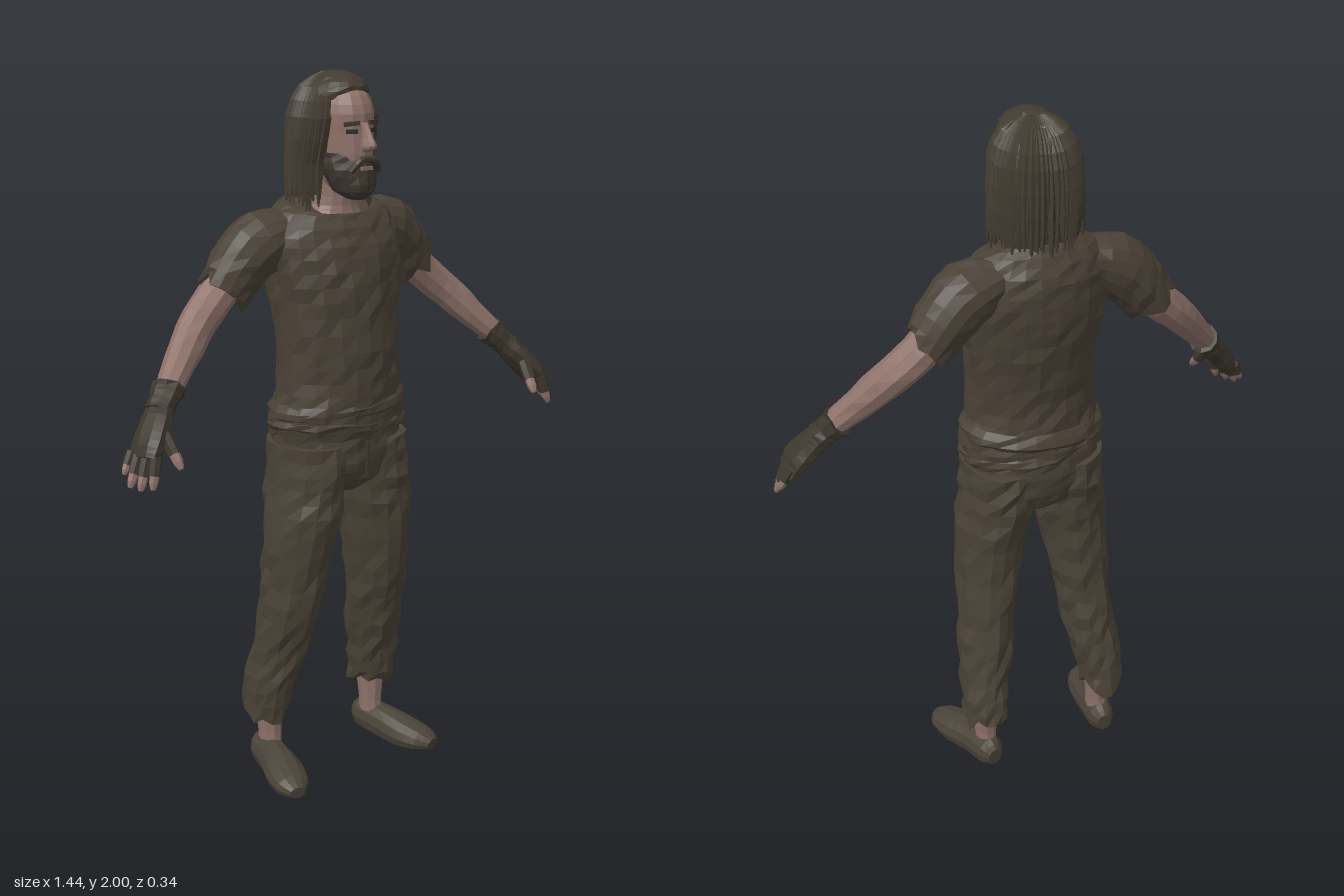
import * as THREE from 'three';

const V3 = (x, y, z) => new THREE.Vector3(x, y, z);
const mat = (name, color) => Object.assign(new THREE.MeshStandardMaterial({ color }), { name });
// Repeatable noise in -1..1
const noise = (i, j, k = 0) => {
  const s = Math.sin(i * 127.1 + j * 311.7 + k * 74.7) * 43758.5453;
  return (s - Math.floor(s)) * 2 - 1;
};
// Horizontal ring from half width and front/back depth
const ring = (x, y, rx, front, back) => [x, y, (front + back) / 2, rx, (front - back) / 2];

// Faceted skin over elliptical rings [x, y, z, radiusU, radiusV], with optional creases and ragged ends
function loft(name, material, rings, o = {}) {
  const { segs = 12, n = rings.length * 2, flat = false, ref = V3(0, 0, 1), rough = 0, seed = 0,
    jag0 = 0, jag1 = 0, cap0 = true, cap1 = true, tilt = 0 } = o;
  const path = new THREE.CatmullRomCurve3(rings.map(r => V3(r[0], r[1], r[2])));
  const size = new THREE.CatmullRomCurve3(rings.map(r => V3(r[3], r[4], 0)), false, 'catmullrom', 0.5);
  const pos = [], idx = [];
  for (let i = 0; i <= n; i++) {
    const t = i / n, c = path.getPoint(t), r = size.getPoint(t);
    const T = flat ? V3(0, 1, 0) : path.getTangent(t);
    const V = ref.clone().addScaledVector(T, -ref.dot(T)).normalize();
    const U = T.clone().cross(V);
    for (let j = 0; j < segs; j++) {
      const a = (j / segs) * Math.PI * 2;
      const w = rough * noise(i, j, seed);
      const p = c.clone().addScaledVector(U, (r.x + w) * Math.cos(a)).addScaledVector(V, (r.y + w) * Math.sin(a));
      if (i === 0) p.addScaledVector(T, -jag0 * noise(j, 3, seed));
      if (i === n) p.addScaledVector(T, jag1 * noise(j, 5, seed));
      p.y -= tilt * Math.sin(a) * t ** 8;
      pos.push(p.x, Math.max(0, p.y), p.z);
    }
  }
  for (let i = 0; i < n; i++) for (let j = 0; j < segs; j++) {
    const a = i * segs + j, b = i * segs + (j + 1) % segs;
    idx.push(a, a + segs, b, b, a + segs, b + segs);
  }
  const addCap = (row, end) => {
    const c = path.getPoint(end ? 1 : 0), k = pos.length / 3;
    pos.push(c.x, c.y, c.z);
    for (let j = 0; j < segs; j++) {
      const a = row * segs + j, b = row * segs + (j + 1) % segs;
      if (end) idx.push(k, b, a); else idx.push(k, a, b);
    }
  };
  if (cap0) addCap(0, false);
  if (cap1) addCap(n, true);
  const indexed = new THREE.BufferGeometry();
  indexed.setAttribute('position', new THREE.Float32BufferAttribute(pos, 3));
  indexed.setIndex(idx);
  const g = indexed.toNonIndexed();
  g.computeVertexNormals();
  const m = new THREE.Mesh(g, material);
  m.name = name;
  return m;
}

export function createModel() {
  const root = new THREE.Group();
  root.name = 'raggedMan';
  const skin = mat('skin', 0x8e7269), shirt = mat('shirtCloth', 0x4a4136), pants = mat('trouserCloth', 0x4a4236);
  const hair = mat('hair', 0x423b30), beardMat = mat('beard', 0x3f362e), glove = mat('gloveCloth', 0x3d372d);
  const leather = mat('shoeLeather', 0x4a4338), dark = mat('eyeDark', 0x35302c);
  shirt.side = THREE.DoubleSide;
  const add = (...a) => { const m = loft(...a); root.add(m); return m; };
  const plate = (name, m, w, h, x, y, z, ry = 0, rz = 0) => {
    const p = new THREE.Mesh(new THREE.BoxGeometry(w, h, 0.008), m);
    p.name = name;
    p.position.set(x, y, z);
    p.rotation.set(0, ry, rz);
    root.add(p);
  };

  // Shirt body with ragged hem and dipped neckline
  add('shirtBody', shirt, [
    ring(0, 1.02, 0.2, 0.15, -0.152), ring(0, 1.08, 0.208, 0.155, -0.15), ring(0, 1.14, 0.186, 0.154, -0.138),
    ring(0, 1.23, 0.18, 0.155, -0.136), ring(0, 1.35, 0.188, 0.148, -0.155), ring(0, 1.45, 0.2, 0.14, -0.17),
    ring(0, 1.54, 0.212, 0.122, -0.172), ring(0, 1.6, 0.2, 0.095, -0.162), ring(0, 1.645, 0.15, 0.07, -0.135),
    ring(0, 1.655, 0.085, 0.062, -0.105),
  ], { segs: 28, n: 22, flat: true, rough: 0.005, jag0: 0.014, cap1: false, tilt: 0.045 });
  // Rolled folds round the hem
  for (const [k, y] of [1.05, 1.1].entries()) {
    const fold = add('hemFold', shirt, [ring(0, y - 0.025, 0.198, 0.147, -0.148),
      ring(0, y, 0.212, 0.159, -0.157), ring(0, y + 0.025, 0.19, 0.147, -0.14)],
    { segs: 24, n: 3, flat: true, rough: 0.006, seed: k + 2 });
    fold.geometry.translate(0, -y, 0).rotateZ(k ? 0.06 : -0.07).translate(0, y, 0);
  }

  // Trouser seat and fly
  add('trouserSeat', pants, [ring(0, 0.85, 0.06, 0.07, -0.08), ring(0, 0.89, 0.15, 0.125, -0.125),
    ring(0, 0.96, 0.195, 0.142, -0.142), ring(0, 1.05, 0.19, 0.14, -0.14)], { segs: 22, flat: true, rough: 0.004 });
  plate('fly', glove, 0.008, 0.1, 0, 0.96, 0.144);

  for (const s of [1, -1]) {
    // Trouser leg, frayed at the bottom
    add('trouserLeg', pants, [
      ring(s * 0.193, 0.175, 0.064, -0.012, -0.16), ring(s * 0.186, 0.28, 0.068, 0.015, -0.148),
      ring(s * 0.167, 0.4, 0.077, 0.05, -0.13), ring(s * 0.155, 0.52, 0.08, 0.085, -0.118),
      ring(s * 0.141, 0.65, 0.088, 0.112, -0.113), ring(s * 0.125, 0.8, 0.1, 0.136, -0.122),
      ring(s * 0.108, 0.9, 0.1, 0.14, -0.135), ring(s * 0.1, 1.0, 0.1, 0.135, -0.14),
    ], { segs: 16, n: 18, flat: true, rough: 0.007, jag0: 0.024, seed: s + 4 });
    // Ankle
    add('ankle', skin, [ring(s * 0.187, 0.05, 0.032, -0.03, -0.12), ring(s * 0.186, 0.11, 0.031, -0.035, -0.112),
      ring(s * 0.188, 0.25, 0.045, -0.025, -0.135)], { segs: 10, flat: true });
    // Shoe with a flat sole
    add('shoe', leather, [
      [s * 0.184, 0.042, -0.138, 0.022, 0.03], [s * 0.187, 0.045, -0.11, 0.04, 0.05],
      [s * 0.2, 0.04, -0.03, 0.046, 0.054], [s * 0.22, 0.03, 0.05, 0.057, 0.048],
      [s * 0.24, 0.025, 0.115, 0.05, 0.034], [s * 0.248, 0.02, 0.15, 0.024, 0.018],
    ], { segs: 12, n: 10, ref: V3(0, 1, 0) });

    // Sleeve with torn edge
    add('sleeve', shirt, [[s * 0.13, 1.585, -0.05, 0.06, 0.08], [s * 0.215, 1.55, -0.058, 0.088, 0.088],
      [s * 0.275, 1.495, -0.065, 0.082, 0.078], [s * 0.325, 1.43, -0.066, 0.072, 0.07]],
    { segs: 16, n: 7, rough: 0.004, jag1: 0.02, seed: s + 7 });
    // Bare arm
    add('arm', skin, [[s * 0.27, 1.5, -0.065, 0.05, 0.052], [s * 0.36, 1.41, -0.066, 0.052, 0.054],
      [s * 0.425, 1.352, -0.048, 0.049, 0.05], [s * 0.49, 1.285, -0.015, 0.044, 0.045],
      [s * 0.585, 1.19, 0.035, 0.028, 0.035]], { segs: 10, n: 9, rough: 0.002 });
    // Fingerless glove: cuff and palm
    add('gloveCuff', glove, [[s * 0.55, 1.222, 0.015, 0.045, 0.05], [s * 0.578, 1.193, 0.032, 0.036, 0.042],
      [s * 0.6, 1.17, 0.042, 0.036, 0.042]], { segs: 10, jag0: 0.008, rough: 0.003 });
    add('gloveHand', glove, [[s * 0.585, 1.185, 0.035, 0.032, 0.038], [s * 0.62, 1.145, 0.058, 0.034, 0.05],
      [s * 0.655, 1.1, 0.078, 0.032, 0.058], [s * 0.675, 1.07, 0.087, 0.023, 0.055]], { segs: 10, rough: 0.002 });
    // Thumb and fingers: covered base, bare tip
    const digits = [[0.618, 1.13, 0.1, 0.607, 1.05, 0.16, 0.016], [0.66, 1.085, 0.128, 0.682, 1.005, 0.142, 0.014],
      [0.672, 1.08, 0.102, 0.703, 1.0, 0.117, 0.014], [0.68, 1.08, 0.075, 0.716, 1.004, 0.088, 0.014],
      [0.684, 1.085, 0.048, 0.714, 1.03, 0.056, 0.012]];
    for (const [x0, y0, z0, x1, y1, z1, r] of digits) {
      const at = (t, k) => [s * (x0 + (x1 - x0) * t), y0 + (y1 - y0) * t, z0 + (z1 - z0) * t, r * k, r * k];
      add('gloveFinger', glove, [at(0, 1.15), at(0.3, 1.15), at(0.58, 1.1)], { segs: 7, n: 3 });
      add('fingertip', skin, [at(0.4, 0.95), at(0.8, 0.85), at(1, 0.45)], { segs: 7, n: 4 });
    }
    // Ear, eye and brow
    plate('eye', dark, 0.03, 0.011, s * 0.034, 1.848, 0.115, s * 0.35);
    plate('brow', hair, 0.042, 0.011, s * 0.035, 1.868, 0.115, s * 0.35, s * -0.08);
    // Moustache half
    add('moustache', beardMat, [[0, 1.776, 0.136, 0.008, 0.01], [s * 0.022, 1.772, 0.136, 0.011, 0.012],
      [s * 0.045, 1.745, 0.122, 0.008, 0.012]], { segs: 6 });
  }

  // Neck and upper chest
  add('neck', skin, [ring(0, 1.57, 0.1, 0.065, -0.1), ring(0, 1.615, 0.085, 0.055, -0.09),
    ring(0, 1.65, 0.064, 0.05, -0.085), ring(0, 1.74, 0.06, 0.06, -0.08)], { segs: 14, flat: true });
  // Head and nose
  add('head', skin, [ring(0, 1.68, 0.035, 0.09, 0), ring(0, 1.72, 0.06, 0.115, -0.06), ring(0, 1.78, 0.072, 0.125, -0.08),
    ring(0, 1.84, 0.078, 0.122, -0.09), ring(0, 1.9, 0.08, 0.122, -0.1), ring(0, 1.95, 0.065, 0.095, -0.1),
    ring(0, 1.975, 0.04, 0.05, -0.08)], { segs: 16, flat: true });
  add('nose', skin, [[0, 1.795, 0.13, 0.014, 0.014], [0, 1.81, 0.142, 0.018, 0.026], [0, 1.835, 0.135, 0.012, 0.02],
    [0, 1.87, 0.122, 0.009, 0.01]], { segs: 8, flat: true });
  // Beard and lip
  add('beard', beardMat, [ring(0, 1.668, 0.025, 0.118, 0.06), ring(0, 1.69, 0.052, 0.138, 0.01),
    ring(0, 1.73, 0.068, 0.138, -0.02), ring(0, 1.765, 0.075, 0.127, -0.03), ring(0, 1.79, 0.076, 0.108, -0.04)],
  { segs: 16, n: 8, flat: true, rough: 0.003 });
  plate('lip', skin, 0.036, 0.009, 0, 1.752, 0.134);

  // Hair mass behind the face
  add('hairMass', hair, [ring(0, 1.64, 0.095, -0.02, -0.118), ring(0, 1.7, 0.108, -0.005, -0.128),
    ring(0, 1.8, 0.108, 0.02, -0.134), ring(0, 1.88, 0.108, 0.045, -0.132), ring(0, 1.935, 0.096, 0.09, -0.118),
    ring(0, 1.965, 0.074, 0.09, -0.092), ring(0, 1.988, 0.042, 0.055, -0.05), ring(0, 1.996, 0.015, 0.02, -0.015)],
  { segs: 20, n: 16, flat: true, rough: 0.002, jag0: 0.015 });
  // Long strands falling from the crown, parted round the face
  const strands = 72;
  for (let k = 0; k < strands; k++) {
    const back = k / (strands - 1) * 2 - 1;
    const phi = -Math.PI / 2 + back * THREE.MathUtils.degToRad(137) + noise(k, 1) * 0.03;
    const cx = Math.cos(phi), cz = Math.sin(phi), grow = 1 + noise(k, 2) * 0.04;
    const onHead = (deg, r) => {
      const e = THREE.MathUtils.degToRad(deg), h = Math.cos(e) * grow;
      return [cx * 0.113 * h, 1.855 + 0.138 * Math.sin(e), -0.018 + cz * 0.118 * h, r, r * 1.3];
    };
    const end = 1.66 + noise(k, 3) * 0.035;
    const flare = 1.02 + noise(k, 4) * 0.05;
    const low = (y, r, f) => [cx * 0.115 * f, y, -0.025 + cz * (cz > 0 ? 0.085 : 0.112) * f, r, r * 1.3];
    add('hairStrand', hair, [onHead(78, 0.004), onHead(45, 0.007), onHead(10, 0.008),
      low(1.76, 0.009, flare), low(end, 0.002, flare + noise(k, 6) * 0.05)],
    { segs: 4, n: 8, ref: V3(-cz, 0, cx) });
  }
  return root;
}
